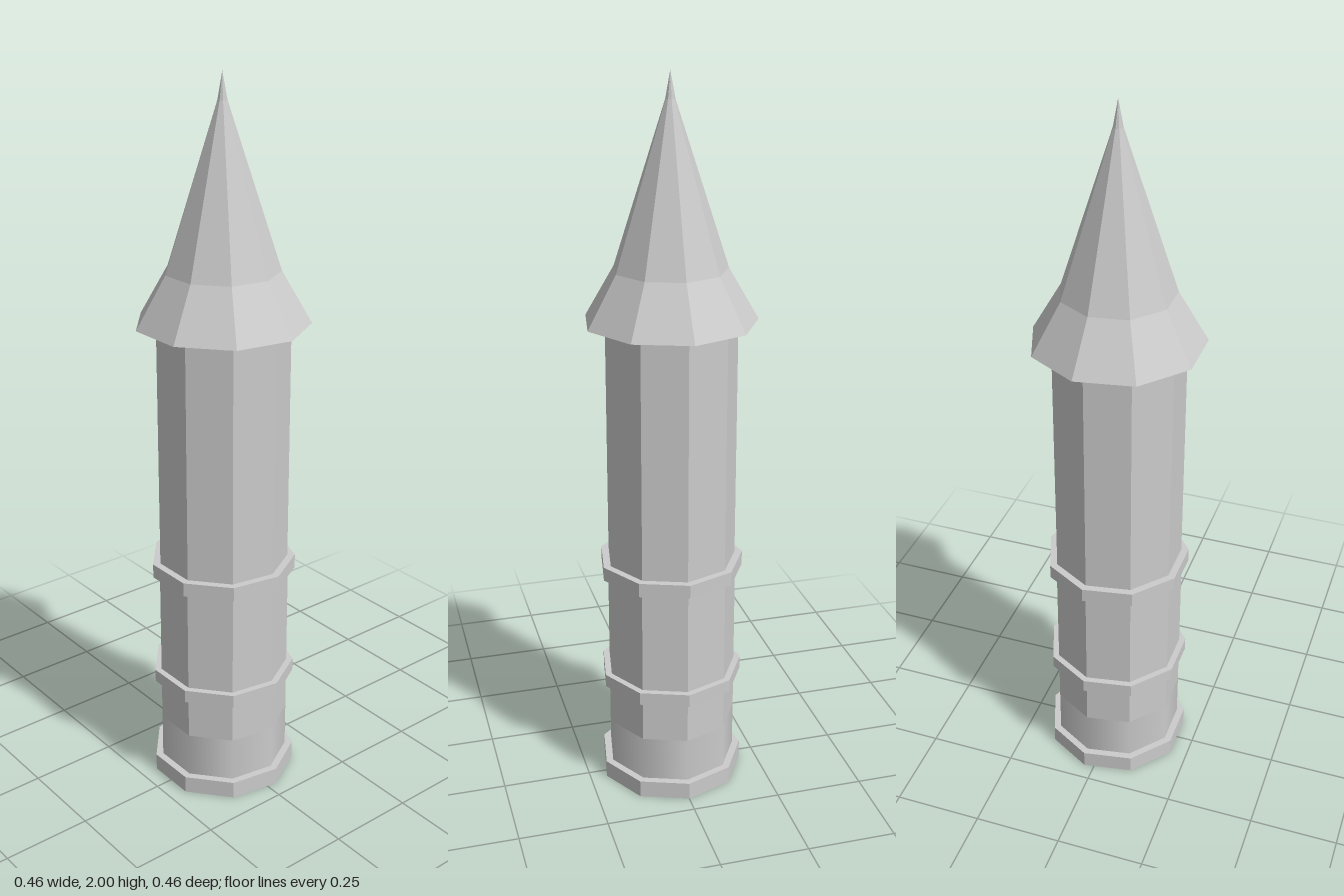
import * as THREE from 'three';

const SIDES = 9;
const flat = new THREE.MeshStandardMaterial({ color: 0xcccccc, flatShading: true });
const smooth = new THREE.MeshStandardMaterial({ color: 0xcccccc });

export function createModel() {
  const tower = new THREE.Group();
  tower.name = 'tower';

  // Nine-sided drum from y0 to y1, with one corner pointing to +x
  function drum(name, y0, y1, r0, r1 = r0, material = flat, open = false) {
    const geometry = new THREE.CylinderGeometry(r1, r0, y1 - y0, SIDES, 1, open, Math.PI / 2);
    const mesh = new THREE.Mesh(geometry, material);
    mesh.name = name;
    mesh.position.set(-0.007, (y0 + y1) / 2, 0);
    tower.add(mesh);
  }

  // Foot and softly shaded plinth
  drum('foot', 0, 0.05, 0.206);
  drum('plinth', 0.05, 0.18, 0.185, 0.185, smooth, true);

  // Shaft
  drum('lowerShaft', 0.18, 0.66, 0.185, 0.184, flat, true);
  drum('upperShaft', 0.66, 1.37, 0.182, 0.181, flat, true);

  // Ring mouldings
  drum('lowerRing', 0.303, 0.34, 0.203);
  drum('upperRing', 0.64, 0.68, 0.203);

  // Flared eaves, steep spire and needle tip
  drum('eaves', 1.36, 1.5, 0.2346, 0.1535);
  drum('spire', 1.5, 1.93, 0.1535, 0.013, flat, true);
  drum('spireTip', 1.93, 2, 0.013, 0, flat, true);

  return tower;
}
